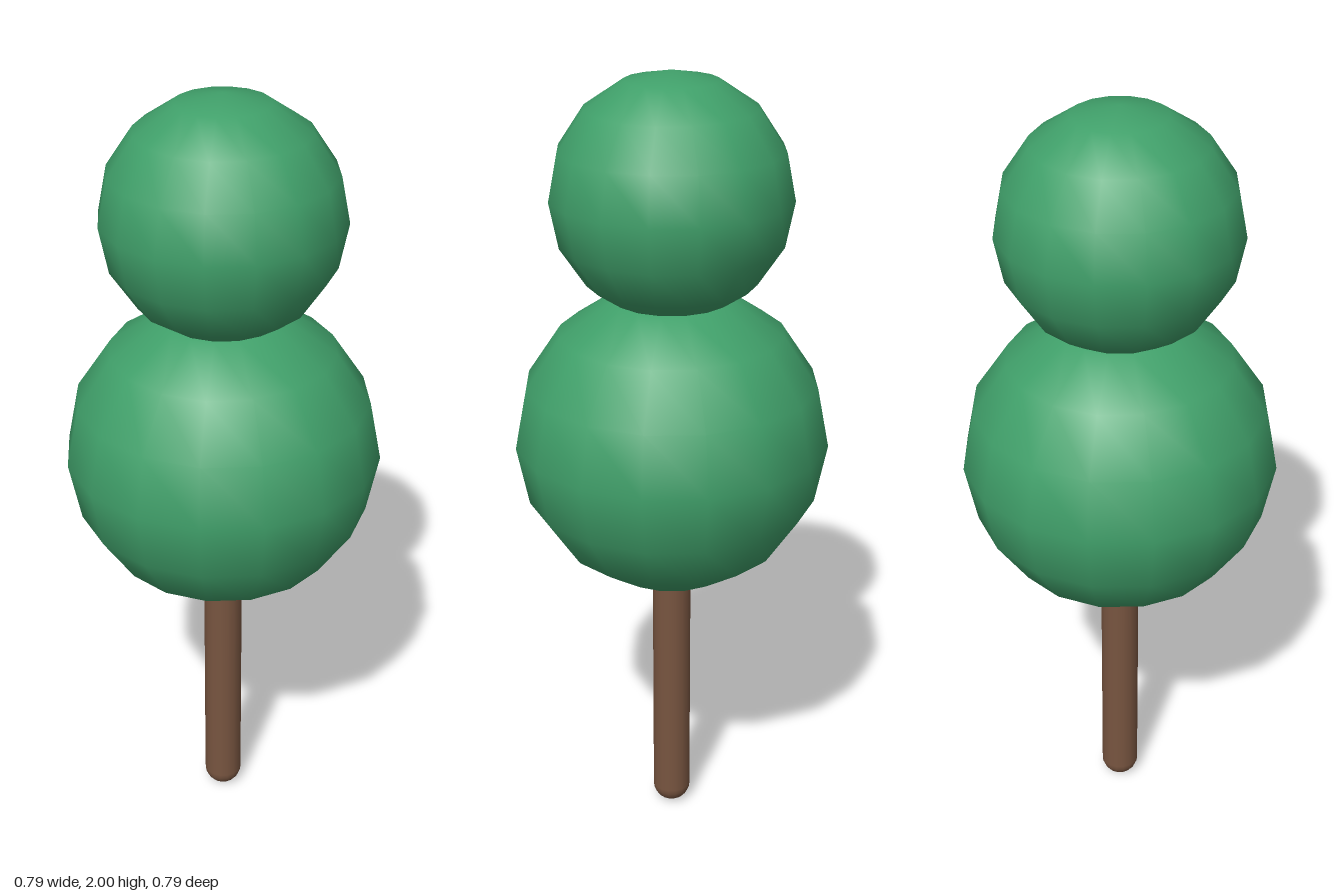
import * as THREE from 'three';

export function createModel() {
  const group = new THREE.Group();
  const leafGreen = new THREE.MeshStandardMaterial({ color: 0x40a06a });
  leafGreen.name = 'leafGreen';
  const barkBrown = new THREE.MeshStandardMaterial({ color: 0x785540 });
  barkBrown.name = 'barkBrown';

  const add = (name, geometry, material, y) => {
    const mesh = new THREE.Mesh(geometry, material);
    mesh.name = name;
    mesh.position.y = y;
    group.add(mesh);
  };

  // Round-ended trunk, its top hidden inside the lower crown
  add('trunk', new THREE.CapsuleGeometry(0.05, 0.7, 6, 16), barkBrown, 0.4);

  // Two stacked balls of foliage
  add('lowerCrown', new THREE.SphereGeometry(0.394, 16, 8), leafGreen, 1.09);
  add('upperCrown', new THREE.SphereGeometry(0.295, 16, 8), leafGreen, 1.705);

  return group;
}
